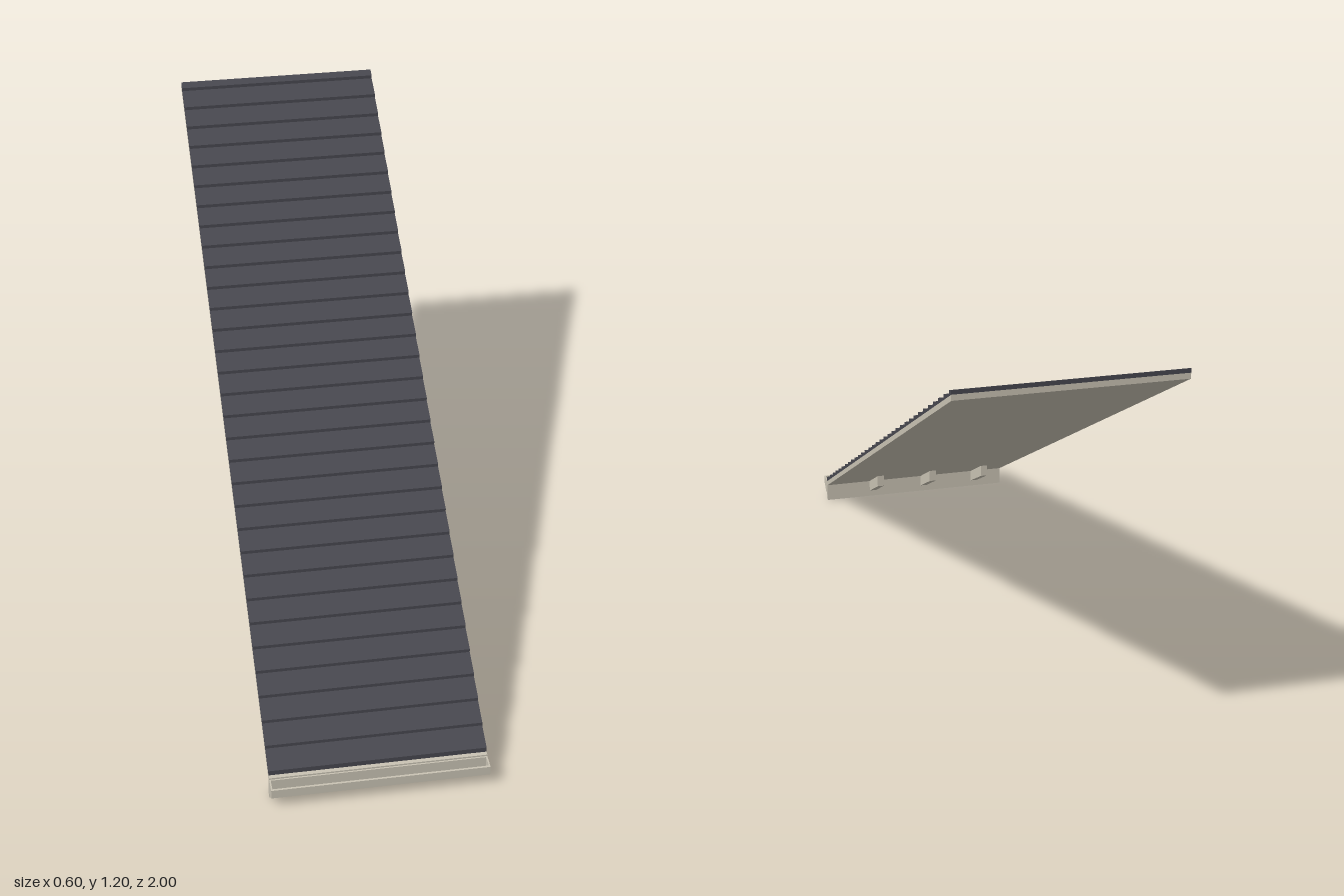
import * as THREE from 'three';

const WIDTH = 0.604;
const EAVE = 0.945, RIDGE = -1, SLOPE = 0.576;
const PITCH = 0.062; // depth of one shingle course

// height of the roof's outer surface at depth z
const roofY = (z) => 0.086 + (EAVE - z) * SLOPE;

// extrude a [z, y] outline sideways, centred on x
function prism(name, outline, width, x, material) {
  const shape = new THREE.Shape(outline.map(([z, y]) => new THREE.Vector2(-z, y)));
  const geometry = new THREE.ExtrudeGeometry(shape, { depth: width, bevelEnabled: false });
  geometry.rotateY(Math.PI / 2);
  geometry.translate(x - width / 2, 0, 0);
  const mesh = new THREE.Mesh(geometry, material);
  mesh.name = name;
  return mesh;
}

export function createModel() {
  const model = new THREE.Group();
  model.name = 'roofSection';
  const slate = new THREE.MeshStandardMaterial({ color: 0x47474f });
  slate.name = 'dark slate';
  const trim = new THREE.MeshStandardMaterial({ color: 0xc9c3b4 });
  trim.name = 'pale trim';

  // shingle courses: one stepped slab, each course thick at its lower edge
  const courses = [[EAVE, roofY(EAVE) - 0.016]];
  for (let z = EAVE; z > RIDGE; z -= PITCH) {
    const back = Math.max(z - PITCH, RIDGE);
    const drop = 0.01 * (z - back) / PITCH;
    courses.push([z, roofY(z)], [back, roofY(back) - drop]);
  }
  courses.push([RIDGE, roofY(RIDGE) - 0.016]);
  model.add(prism('shingles', courses, WIDTH, 0, slate));

  // roof deck under the shingles
  model.add(prism('roofDeck', [
    [EAVE, roofY(EAVE) - 0.032], [EAVE, roofY(EAVE) - 0.016],
    [RIDGE, roofY(RIDGE) - 0.016], [RIDGE, roofY(RIDGE) - 0.032],
  ], WIDTH, 0, trim));

  // rafter tails
  for (const x of [0.145, -0.033, -0.21]) {
    model.add(prism('rafterTail', [
      [EAVE, 0.018], [EAVE, roofY(EAVE) - 0.032],
      [0.79, roofY(0.79) - 0.032], [0.79, 0.106],
    ], 0.022, x, trim));
  }

  // fascia board
  model.add(prism('fascia', [[0.942, 0], [0.957, 0], [0.957, 0.071], [0.942, 0.071]], WIDTH, 0, trim));

  // gutter: open trough with a sloping lower front
  const outer = [[0.957, 0.066], [0.957, 0.02], [0.976, 0.02], [0.988, 0.031], [1, 0.038], [1, 0.066]];
  const inner = [[0.994, 0.066], [0.994, 0.042], [0.984, 0.035], [0.974, 0.025], [0.961, 0.025], [0.961, 0.066]];
  model.add(prism('gutter', [...outer, ...inner], WIDTH - 0.008, 0, trim));
  for (const side of [-1, 1]) {
    model.add(prism('gutterEndCap', outer, 0.004, side * (WIDTH / 2 - 0.002), trim));
  }

  return model;
}
